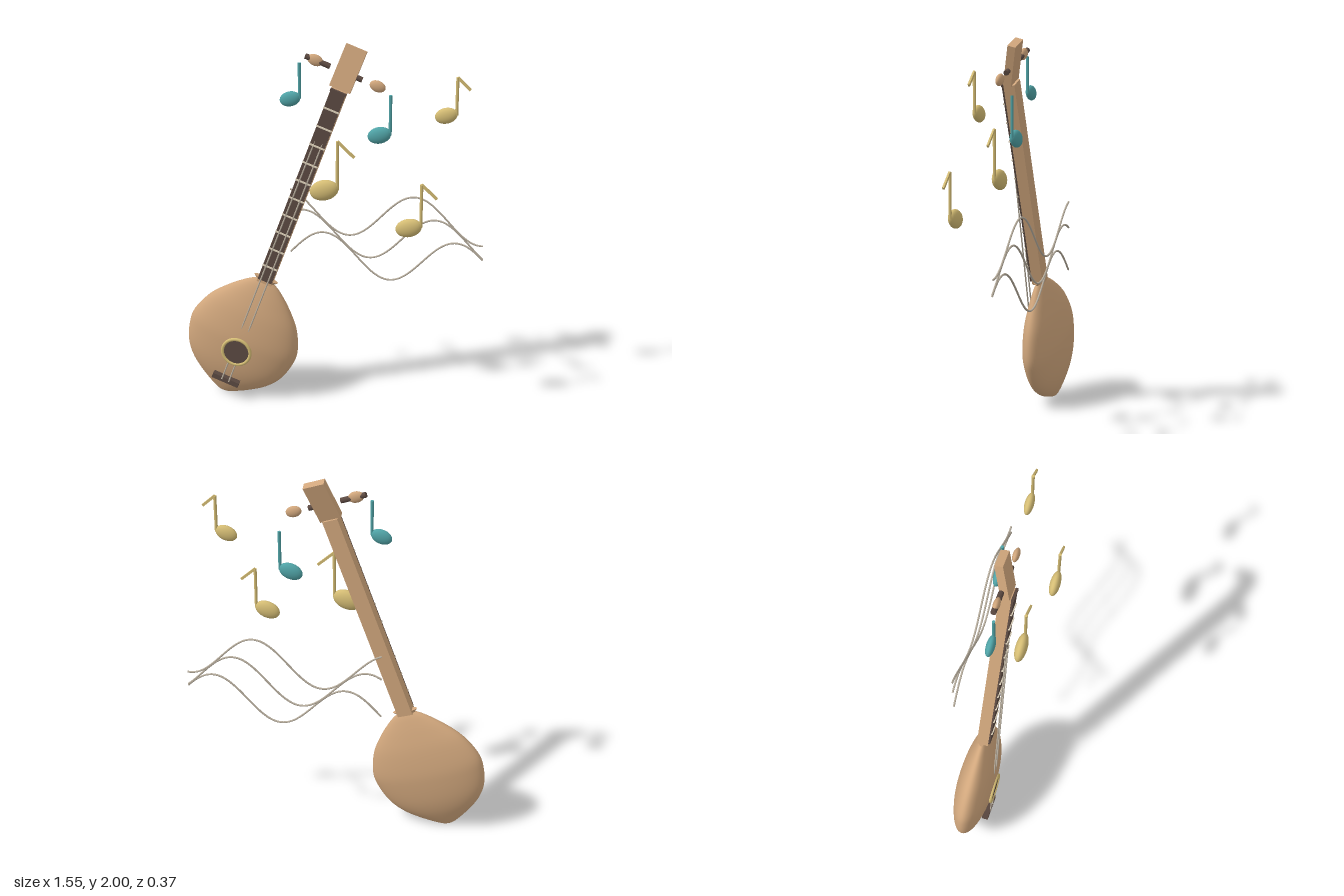
import * as THREE from 'three';

const mat = (name, color) => {
  const m = new THREE.MeshStandardMaterial({ color });
  m.name = name;
  return m;
};

export function createModel() {
  const wood = mat('wood', 0xd0a67c);
  const dark = mat('dark wood', 0x5c4a42);
  const gold = mat('gold', 0xd4bc74);
  const teal = mat('teal', 0x50a3a6);
  const silver = mat('silver', 0xb8ae9e);
  const cream = mat('cream', 0xe2d6be);

  const model = new THREE.Group();
  model.name = 'luteWithMusic';

  const add = (parent, name, geo, material, x = 0, y = 0, z = 0) => {
    const m = new THREE.Mesh(geo, material);
    m.name = name;
    m.position.set(x, y, z);
    parent.add(m);
    return m;
  };
  const box = (w, h, d) => new THREE.BoxGeometry(w, h, d);
  // Straight round rod between two points
  const rod = (parent, name, a, b, r, material) => {
    const path = new THREE.LineCurve3(new THREE.Vector3(...a), new THREE.Vector3(...b));
    const len = path.getLength();
    const m = add(parent, name, new THREE.CylinderGeometry(r, r, len, 10), material);
    m.position.copy(path.getPoint(0.5));
    m.quaternion.setFromUnitVectors(new THREE.Vector3(0, 1, 0), path.getTangent(0));
    return m;
  };

  // Instrument: its own y runs along the neck, with the sound hole at the origin
  const lute = new THREE.Group();
  lute.name = 'lute';
  lute.position.set(-0.485, 0.305, 0);
  lute.rotation.z = -0.35;
  model.add(lute);

  // Pear-shaped body, flattened front to back
  const outline = new THREE.SplineCurve([
    [0, -0.314], [0.04, -0.306], [0.13, -0.25], [0.215, -0.18], [0.27, -0.1], [0.298, 0],
    [0.298, 0.09], [0.25, 0.21], [0.175, 0.306], [0.1, 0.378], [0.052, 0.412],
  ].map(([r, y]) => new THREE.Vector2(r, y))).getPoints(50);
  outline[0].x = 0;
  const body = add(lute, 'body', new THREE.LatheGeometry(outline, 64), wood, 0, 0, 0.012);
  body.scale.z = 0.325;
  const collar = add(lute, 'collar', new THREE.CylinderGeometry(0.067, 0.05, 0.018, 32), wood, 0, 0.42, 0.012);
  collar.scale.z = 0.33;

  // Sound hole and rosette
  const hole = add(lute, 'soundHole', new THREE.CylinderGeometry(0.067, 0.067, 0.008, 40), dark, 0, 0, 0.11);
  hole.rotation.x = Math.PI / 2;
  add(lute, 'rosette', new THREE.TorusGeometry(0.075, 0.009, 10, 48), gold, 0, 0, 0.111);

  // Bridge and strings
  add(lute, 'bridge', box(0.15, 0.028, 0.034), dark, 0, -0.19, 0.098);
  for (const x of [-0.02, 0.02]) rod(lute, 'string', [x, -0.19, 0.114], [x, 1.56, 0.038], 0.004, silver);

  // Neck, fingerboard, frets and nut
  add(lute, 'neck', box(0.08, 1.16, 0.06), wood, 0, 0.99, 0.014);
  add(lute, 'fingerboard', box(0.078, 1.14, 0.01), dark, 0, 1.0, 0.049);
  for (let i = 0; i < 10; i++) {
    add(lute, 'fret', box(0.082, 0.008, 0.009), cream, 0, 0.52 + i * 0.105, 0.055);
  }
  add(lute, 'nut', box(0.084, 0.012, 0.014), dark, 0, 1.565, 0.05);

  // Head, bent backwards
  const head = add(lute, 'head', box(0.11, 0.22, 0.042), wood, 0, 1.677, -0.009);
  head.rotation.x = -0.25;

  // Tuning pegs
  for (const [side, mid] of [[-1, -0.153], [1, 0.018]]) {
    rod(lute, 'pegShaft', [mid - 0.066, 1.654, 0], [mid + 0.066, 1.654, 0], 0.014, dark);
    const knob = add(lute, 'pegKnob', new THREE.SphereGeometry(1, 24, 16), wood, side * 0.166, 1.654, 0);
    knob.scale.set(0.041, 0.029, 0.017);
  }

  // Floating notes: head centre, size, colour, flag
  const note = (x, y, z, s, material, flag) => {
    const g = new THREE.Group();
    g.name = 'note';
    g.position.set(x, y, z);
    model.add(g);
    const oval = add(g, 'noteHead', new THREE.SphereGeometry(s, 28, 18), material);
    oval.scale.set(0.285, 0.2, 0.115);
    oval.rotation.z = 0.32;
    const sx = 0.255 * s;
    rod(g, 'noteStem', [sx, 0.03 * s, 0], [sx, s, 0], 0.008, material);
    if (flag) {
      const f = add(g, 'noteFlag', box(0.44 * s, 0.013, 0.01), material, sx + 0.16 * s, 0.85 * s, 0);
      f.rotation.z = -0.75;
    }
  };
  note(-0.2, 1.71, 0.01, 0.19, teal, false);
  note(0.235, 1.515, -0.085, 0.215, teal, false);
  note(0.575, 1.662, -0.035, 0.2, gold, true);
  note(-0.008, 1.275, 0.107, 0.265, gold, true);
  note(0.43, 1.13, 0.157, 0.237, gold, true);

  // Three wavy staff lines behind the instrument: centre height, x of a crest
  for (const [cy, crest] of [[0.79, -0.07], [0.91, -0.18], [1.03, -0.29]]) {
    const pts = [];
    for (let i = 0; i <= 40; i++) {
      const x = -0.25 + (1.02 * i) / 40;
      pts.push(new THREE.Vector3(x, cy + 0.122 * Math.cos(((x - crest) / 0.7) * Math.PI * 2), -0.182));
    }
    add(model, 'staffWave', new THREE.TubeGeometry(new THREE.CatmullRomCurve3(pts), 80, 0.005, 8), silver);
  }

  return model;
}
